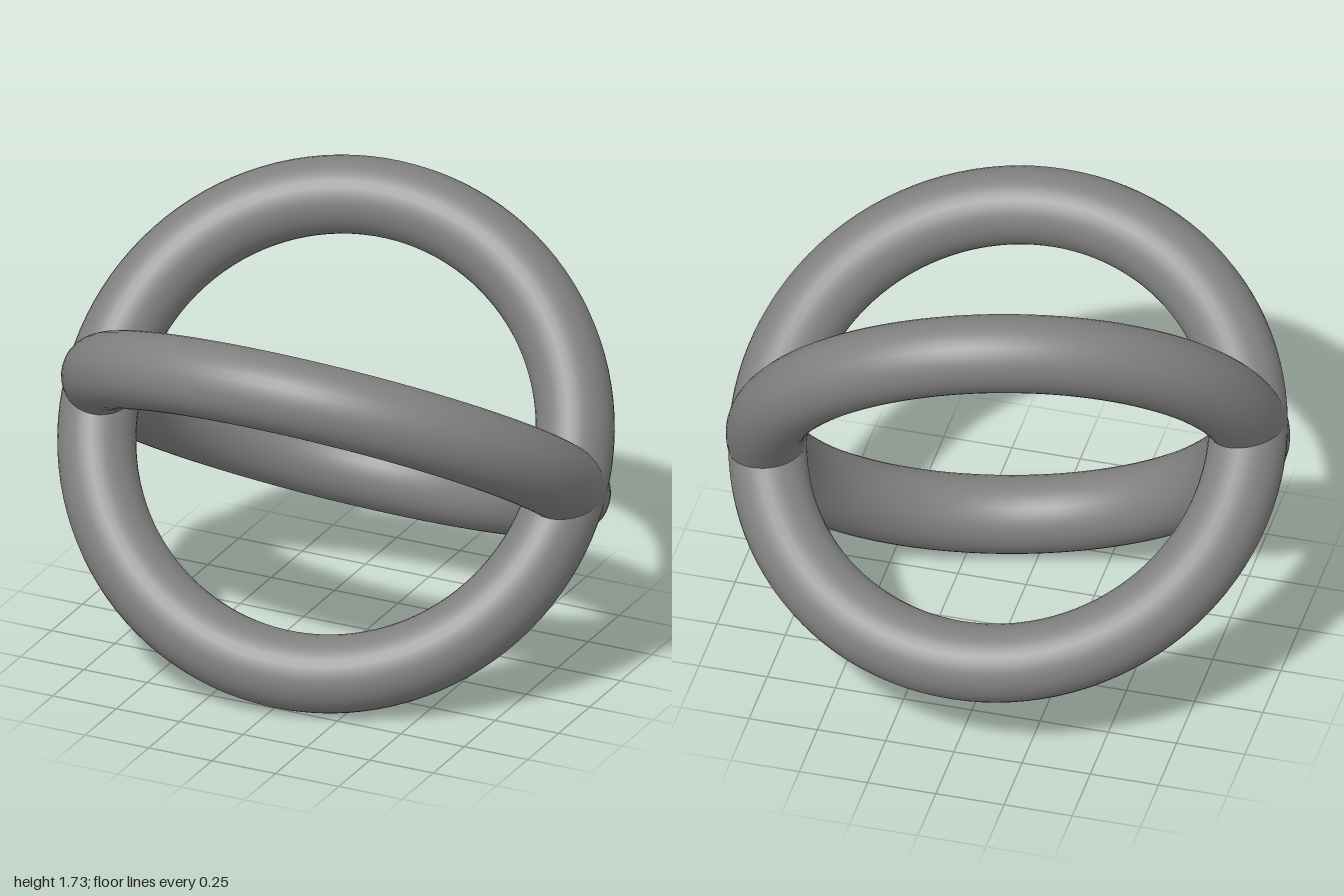
import * as THREE from 'three';

const RING_RADIUS = 0.86;
const TUBE_RADIUS = 0.14;
const CENTRE_HEIGHT = 0.8625;

export function createModel() {
  const model = new THREE.Group();
  model.name = 'crossedRings';

  const grey = new THREE.MeshStandardMaterial({ color: 0x808080 });
  grey.name = 'grey';

  const ringGeometry = new THREE.TorusGeometry(RING_RADIUS, TUBE_RADIUS, 32, 112);

  // Each ring shares the centre and is turned to face along its own axis
  const addRing = (name, axis) => {
    const ring = new THREE.Mesh(ringGeometry, grey);
    ring.name = name;
    ring.position.y = CENTRE_HEIGHT;
    ring.quaternion.setFromUnitVectors(new THREE.Vector3(0, 0, 1), axis.normalize());
    model.add(ring);
  };

  // Ring rising toward the front
  addRing('frontRisingRing', new THREE.Vector3(0, 0.833, -0.553));
  // Steeper ring at right angles to it, leaning back and slightly turned
  addRing('backLeaningRing', new THREE.Vector3(0.21, 0.542, 0.814));

  return model;
}
